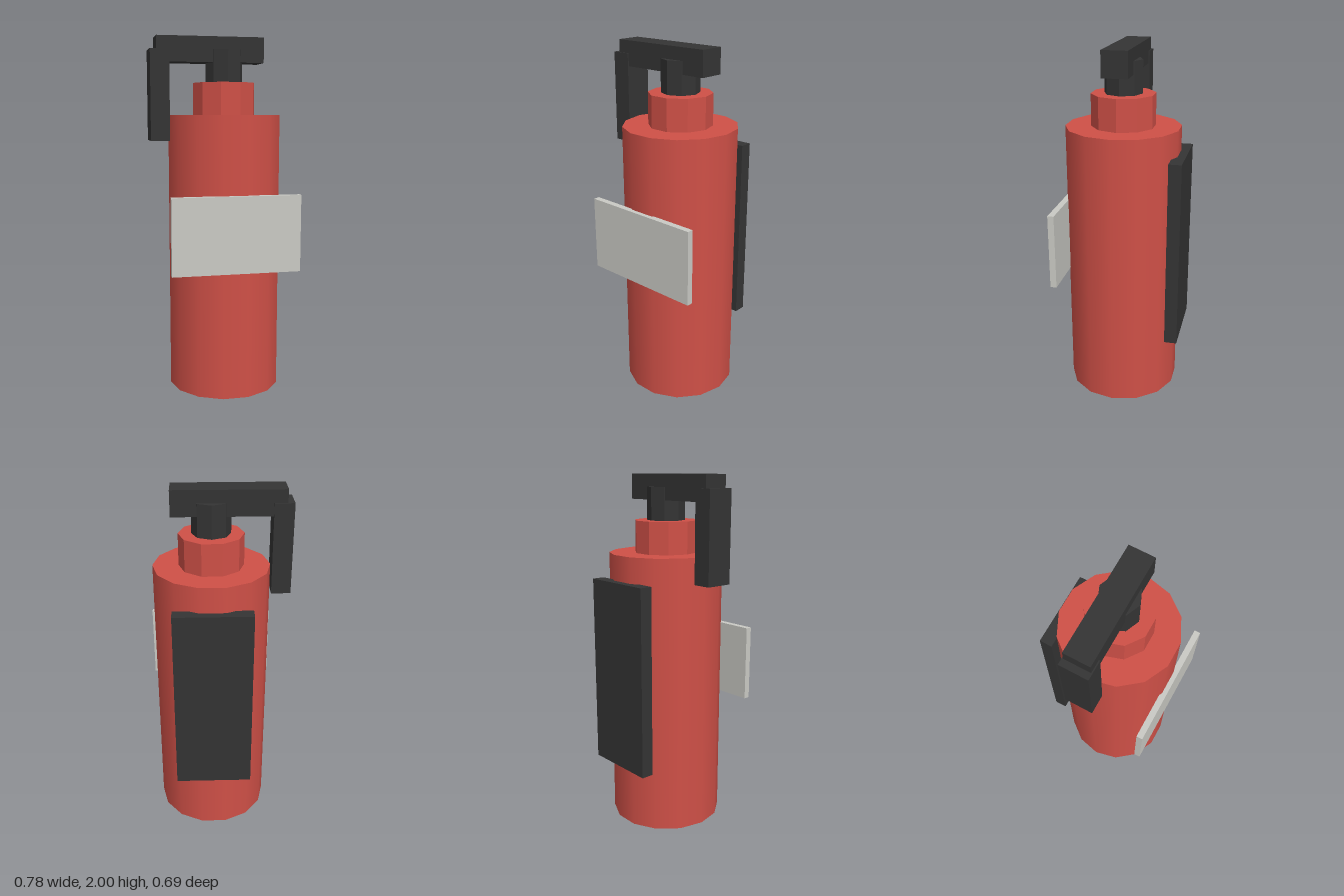
import * as THREE from 'three';

export function createModel() {
  const model = new THREE.Group();
  model.name = 'fireExtinguisher';

  const mat = (name, color) => {
    const m = new THREE.MeshStandardMaterial({ color });
    m.name = name;
    return m;
  };
  const red = mat('red', 0xcf5047);
  const black = mat('black', 0x343434);
  const grey = mat('light grey', 0xcacac4);

  const axisX = 0.035, axisZ = 0.008;

  const add = (name, geometry, material, x, y, z) => {
    const mesh = new THREE.Mesh(geometry, material);
    mesh.name = name;
    mesh.position.set(x, y, z);
    model.add(mesh);
  };

  // Upright prism on the tank axis, with a corner pointing along +x
  const column = (name, radius, sides, y0, y1, material, faceted) => {
    let g = new THREE.CylinderGeometry(radius, radius, y1 - y0, sides);
    g.rotateY(Math.PI / 2);
    if (faceted) {
      g = g.toNonIndexed();
      g.computeVertexNormals();
    }
    add(name, g, material, axisX, (y0 + y1) / 2, axisZ);
  };

  // Box given by its limits on each axis
  const block = (name, [x0, x1], [y0, y1], [z0, z1], material) =>
    add(name, new THREE.BoxGeometry(x1 - x0, y1 - y0, z1 - z0), material,
      (x0 + x1) / 2, (y0 + y1) / 2, (z0 + z1) / 2);

  // Tank, collar and valve
  column('tank', 0.32, 14, 0, 1.572, red, false);
  column('collar', 0.178, 10, 1.572, 1.75, red, true);
  column('valve', 0.106, 8, 1.75, 1.93, black, true);

  // Handle and hanging nozzle
  block('handle', [-0.357, 0.248], [1.86, 2], [-0.063, 0.078], black);
  block('nozzle', [-0.393, -0.287], [1.43, 1.93], [-0.07, 0.085], black);

  // Front label and wall bracket at the back
  block('label', [-0.322, 0.391], [0.718, 1.142], [0.311, 0.346], grey);
  block('wallBracket', [-0.179, 0.248], [0.36, 1.43], [-0.349, -0.278], black);

  return model;
}
